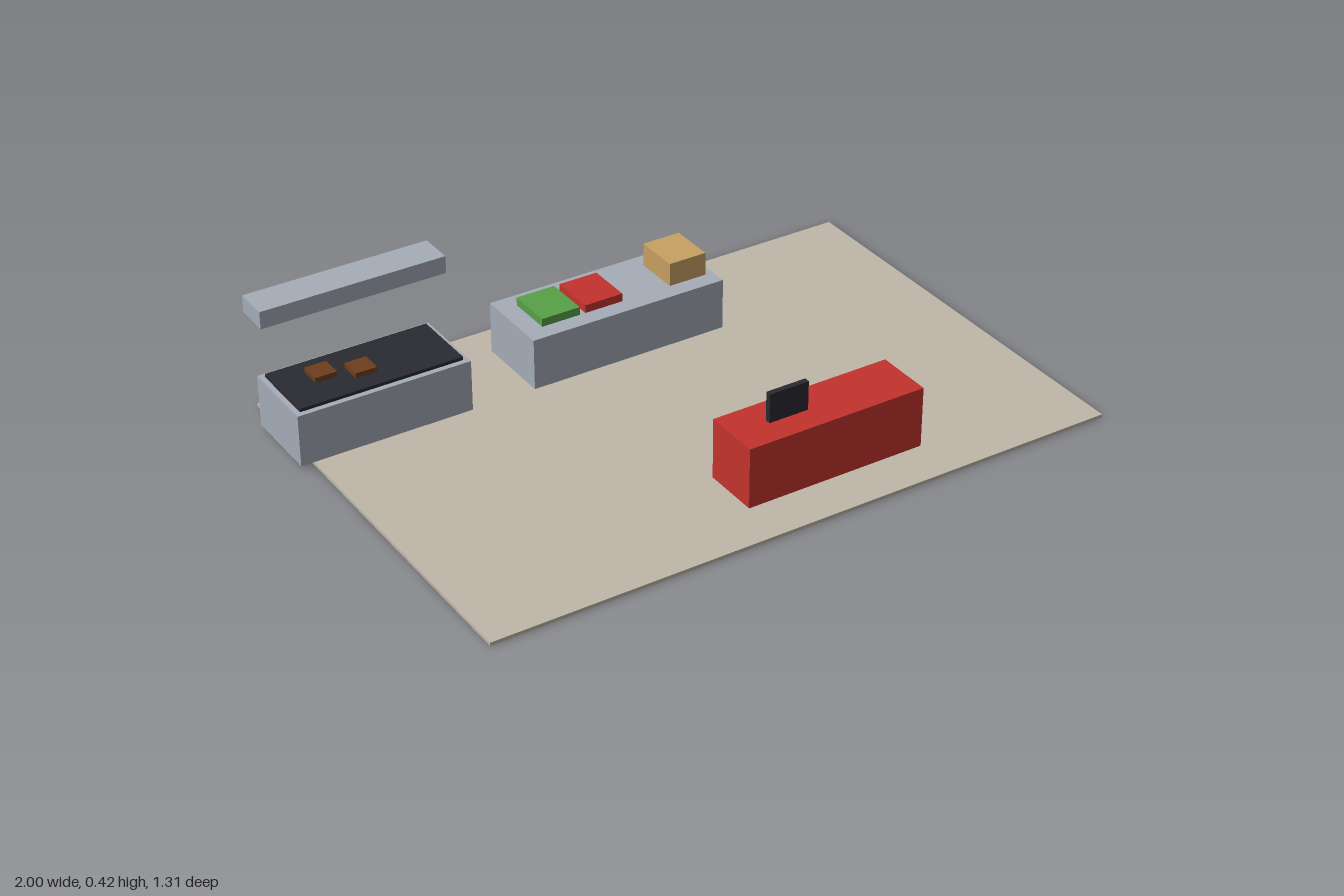
import * as THREE from 'three';

const mat = (name, color) => {
  const m = new THREE.MeshStandardMaterial({ color });
  m.name = name;
  return m;
};

export function createModel() {
  const floorTile = mat('floorTile', 0xbfb7a8);
  const steel = mat('steel', 0xa5adb7);
  const red = mat('red', 0xc4332d);
  const green = mat('green', 0x58a046);
  const bun = mat('bun', 0xc8a062);
  const black = mat('black', 0x2a2a32);
  const brown = mat('brown', 0x6e3e1c);

  const model = new THREE.Group();
  model.name = 'kitchen';

  // Adds a box spanning the given ranges
  const box = (parent, name, material, [x0, x1], [y0, y1], [z0, z1]) => {
    const mesh = new THREE.Mesh(new THREE.BoxGeometry(x1 - x0, y1 - y0, z1 - z0), material);
    mesh.position.set((x0 + x1) / 2, (y0 + y1) / 2, (z0 + z1) / 2);
    mesh.name = name;
    parent.add(mesh);
  };
  const station = (name) => {
    const g = new THREE.Group();
    g.name = name;
    model.add(g);
    return g;
  };

  const floorTop = 0.01, benchTop = 0.168, plateTop = 0.178, counterTop = 0.195;
  const benchZ = [-0.549, -0.303], trayZ = [-0.498, -0.356];

  box(model, 'floor', floorTile, [-0.945, 1], [0, floorTop], [-0.655, 0.655]);

  // Grill with hot plate, patties and hood
  const grill = station('grillStation');
  box(grill, 'grillBase', steel, [-0.984, -0.455], [floorTop, benchTop], benchZ);
  box(grill, 'hotPlate', black, [-0.968, -0.47], [benchTop, plateTop], [-0.532, -0.32]);
  for (const [x, z] of [[-0.84, -0.449], [-0.737, -0.411]]) {
    box(grill, 'patty', brown, [x - 0.033, x + 0.033], [plateTop, 0.193], [z - 0.033, z + 0.033]);
  }
  box(grill, 'hood', steel, [-1, -0.437], [0.365, 0.418], [-0.567, -0.461]);

  // Preparation bench with ingredients
  const prep = station('prepStation');
  box(prep, 'prepBench', steel, [-0.256, 0.374], [floorTop, benchTop], benchZ);
  box(prep, 'greenTray', green, [-0.197, -0.074], [benchTop, 0.193], trayZ);
  box(prep, 'redTray', red, [-0.056, 0.067], [benchTop, 0.193], trayZ);
  box(prep, 'bunBox', bun, [0.227, 0.348], [benchTop, 0.24], trayZ);

  // Serving counter with till screen
  const service = station('serviceStation');
  box(service, 'counter', red, [-0.08, 0.482], [floorTop, counterTop], [0.337, 0.512]);
  box(service, 'tillScreen', black, [0.034, 0.158], [counterTop, 0.284], [0.417, 0.434]);

  return model;
}
